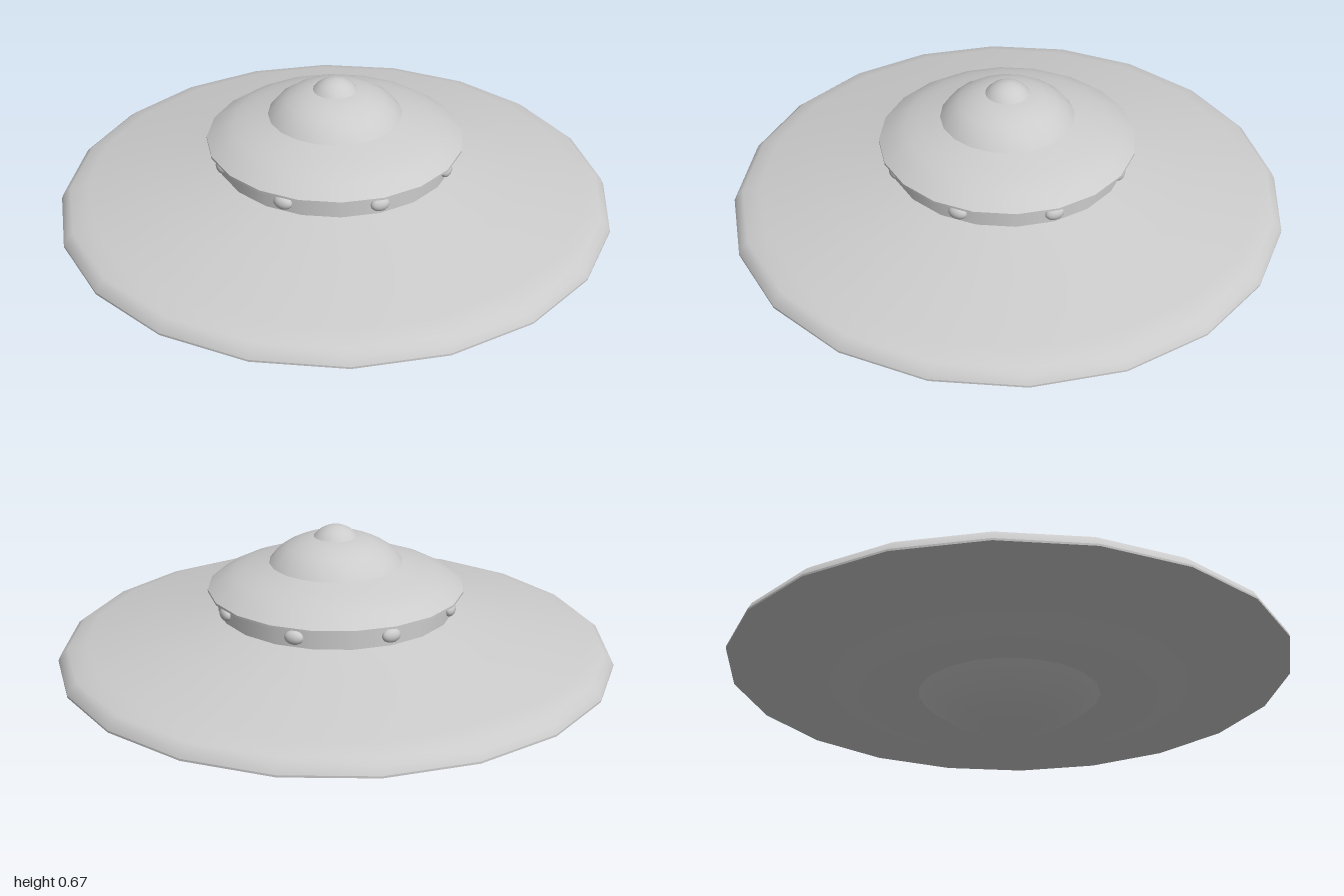
import * as THREE from 'three';

const SIDES = 20;

export function createModel() {
  const saucer = new THREE.Group();
  saucer.name = 'flyingSaucer';
  const material = new THREE.MeshStandardMaterial({ color: 0xcccccc, side: THREE.DoubleSide });

  // Turned part; each profile runs from bottom to top, so its outside faces out
  const turned = (name, profile) => {
    const points = profile.map(([r, y]) => new THREE.Vector2(r, y));
    const mesh = new THREE.Mesh(new THREE.LatheGeometry(points, SIDES), material);
    mesh.name = name;
    saucer.add(mesh);
  };

  // Spherical cap profile: dome from its pole (y0) to its open edge
  const cap = (radius, height, y0, sign, steps = 8) => {
    const R = (radius * radius + height * height) / (2 * height);
    const end = Math.acos((R - height) / R);
    const pts = [];
    for (let i = 0; i <= steps; i++) {
      const a = (end * i) / steps;
      pts.push([R * Math.sin(a), y0 - sign * R * (1 - Math.cos(a))]);
    }
    return sign > 0 ? pts.reverse() : pts;
  };

  // Underside dome sits in a shallow recess of the hull
  turned('bottomDome', cap(0.325, 0.133, 0, -1));
  turned('hullUnderside', [
    [0.3, 0.137], [0.34, 0.131], [0.4, 0.115], [0.46, 0.106], [0.5, 0.105],
    [0.55, 0.115], [0.6, 0.137], [0.66, 0.156], [0.75, 0.167], [1, 0.197],
  ]);

  // Disc rim and upper hull
  turned('hullRim', [[1, 0.197], [1, 0.204]]);
  turned('hullTop', [
    [1, 0.204], [0.988, 0.228], [0.965, 0.246], [0.9, 0.267], [0.66, 0.315], [0.425, 0.365],
  ]);

  // Cabin wall, brim and stepped roof
  turned('cabinWall', [[0.425, 0.36], [0.425, 0.436]]);
  turned('brimUnderside', [[0.42, 0.433], [0.46, 0.438]]);
  turned('brimEdge', [[0.46, 0.438], [0.46, 0.446]]);
  turned('cabinRoof', [
    [0.46, 0.446], [0.41, 0.48], [0.365, 0.499], [0.31, 0.517], [0.235, 0.536],
  ]);
  turned('upperDome', [
    [0.24, 0.534], [0.213, 0.568], [0.176, 0.594], [0.13, 0.615], [0.08, 0.627], [0, 0.634],
  ]);
  turned('topKnob', cap(0.08, 0.042, 0.667, 1, 6));

  // Ring of oval portholes
  const lens = new THREE.SphereGeometry(1, 16, 12);
  for (let i = 0; i < 8; i++) {
    const a = (i * Math.PI) / 4;
    const porthole = new THREE.Mesh(lens, material);
    porthole.name = 'porthole' + (i + 1);
    porthole.position.set(0.425 * Math.sin(a), 0.401, 0.425 * Math.cos(a));
    porthole.rotation.y = a;
    porthole.scale.set(0.034, 0.025, 0.02);
    saucer.add(porthole);
  }
  return saucer;
}
